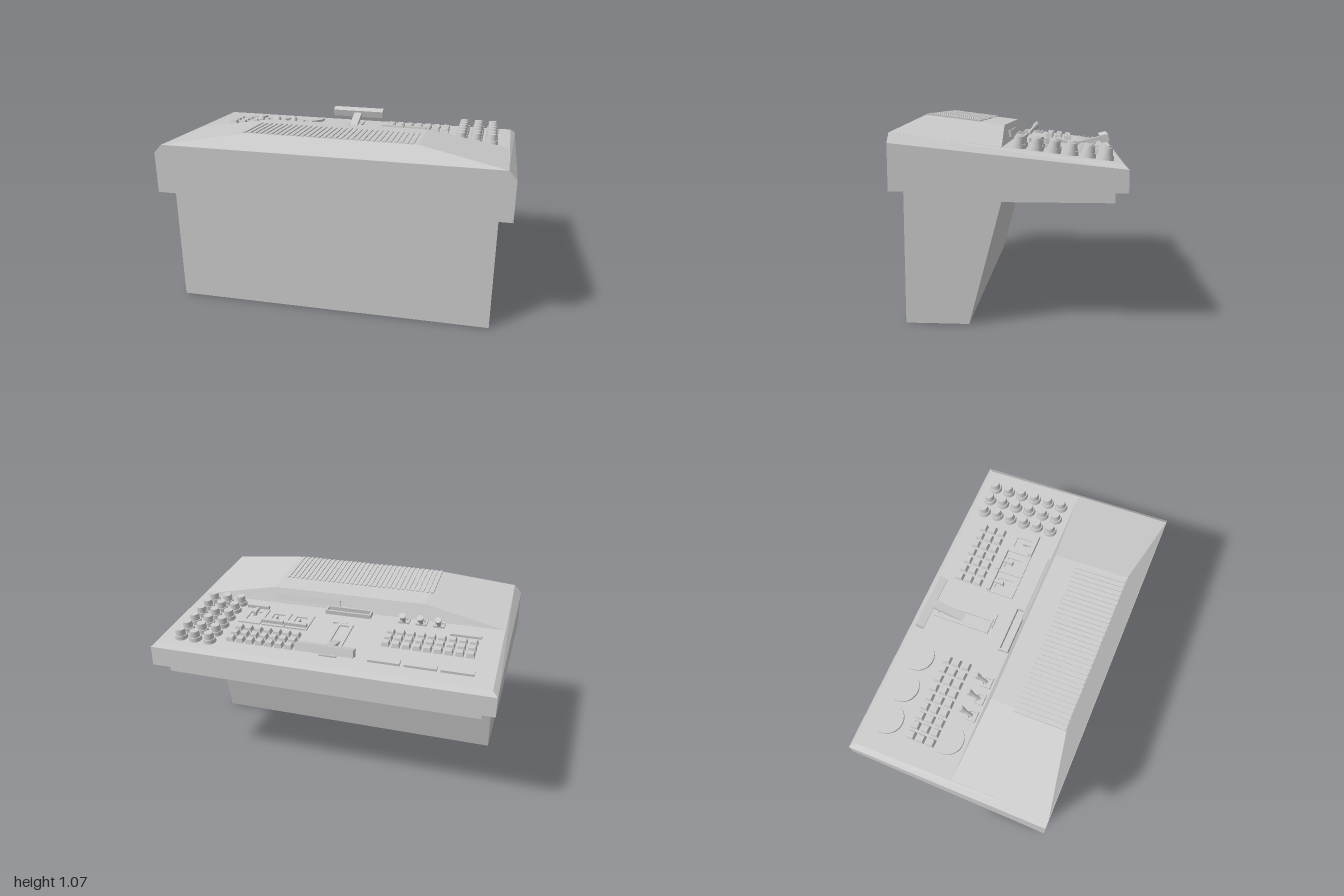
import * as THREE from 'three';
import { ConvexGeometry } from 'three/addons/geometries/ConvexGeometry.js';

const grey = new THREE.MeshStandardMaterial({ color: 0xcccccc, flatShading: true });
const smooth = new THREE.MeshStandardMaterial({ color: 0xcccccc });

function add(parent, name, geometry, x = 0, y = 0, z = 0, material = grey) {
  const mesh = new THREE.Mesh(geometry, material);
  mesh.name = name;
  mesh.position.set(x, y, z);
  parent.add(mesh);
  return mesh;
}

const box = (w, h, d) => new THREE.BoxGeometry(w, h, d);

// Convex solid from [halfWidth, y, z] rows, mirrored in x
function mirroredHull(rows) {
  return new ConvexGeometry(rows.flatMap(([x, y, z]) =>
    [new THREE.Vector3(x, y, z), new THREE.Vector3(-x, y, z)]));
}

// Extrude a shape drawn in plan (shape -y becomes +z) upward by h
function slab(shape, h) {
  return new THREE.ExtrudeGeometry(shape, { depth: h, bevelEnabled: false, curveSegments: 16 })
    .rotateX(-Math.PI / 2);
}

function rect(Kind, w, d) {
  const x = w / 2, y = d / 2;
  return new Kind([[-x, -y], [x, -y], [x, y], [-x, y]].map(p => new THREE.Vector2(...p)));
}

function rectFrame(w, d, t, h) {
  const shape = rect(THREE.Shape, w, d);
  shape.holes.push(rect(THREE.Path, w - 2 * t, d - 2 * t));
  return slab(shape, h);
}

// D-shaped outline with its flat edge at the back
function dOutline(Kind, r, inset) {
  const s = new Kind(), e = r - inset;
  s.moveTo(-e, -inset);
  s.lineTo(e, -inset);
  s.lineTo(e, -0.025);
  s.absarc(0, -0.025, e, 0, -Math.PI, true);
  s.closePath();
  return s;
}

function addMeter(parent, x, z) {
  const g = new THREE.Group();
  g.name = 'meter';
  g.position.set(x, 0, z);
  const rim = dOutline(THREE.Shape, 0.09, 0);
  rim.holes.push(dOutline(THREE.Path, 0.09, 0.012));
  add(g, 'meterRim', slab(rim, 0.014));
  add(g, 'meterFace', slab(dOutline(THREE.Shape, 0.09, 0.01), 0.004));
  parent.add(g);
}

function addButtons(parent, x0, z0, columns, rows) {
  const cap = new THREE.CylinderGeometry(0.025, 0.034, 0.026, 4).rotateY(Math.PI / 4);
  for (let r = 0; r < rows; r++)
    for (let c = 0; c < columns; c++)
      add(parent, 'button', cap, x0 + c * 0.06, 0.012, z0 + r * 0.061);
}

// Slider with a T-shaped handle; dir is the way the stem points along z
function addSlider(parent, x, z, dir) {
  const g = new THREE.Group();
  g.name = 'slider';
  g.position.set(x, 0, z);
  add(g, 'sliderGrip', box(0.14, 0.02, 0.024), 0, 0.03, 0);
  add(g, 'sliderStem', box(0.018, 0.016, 0.07), 0, 0.022, dir * 0.035);
  add(g, 'sliderPost', box(0.018, 0.024, 0.02), 0, 0.01, dir * 0.06);
  parent.add(g);
}

function addToggle(parent, x) {
  const g = new THREE.Group();
  g.name = 'toggleSwitch';
  g.position.set(x, 0, -0.01);
  add(g, 'toggleBase', rectFrame(0.065, 0.055, 0.01, 0.012));
  const lever = new THREE.Group();
  lever.rotation.x = -0.62;
  lever.position.z = -0.008;
  add(lever, 'toggleStem', new THREE.CylinderGeometry(0.011, 0.011, 0.065, 12), 0, 0.03, 0, smooth);
  add(lever, 'toggleKnob', new THREE.CylinderGeometry(0.019, 0.016, 0.032, 14), 0, 0.076, 0, smooth);
  g.add(lever);
  parent.add(g);
}

export function createModel() {
  const model = new THREE.Group();
  model.name = 'controlConsole';

  // Pedestal and underplate in one side profile (shape x = -z)
  const profile = new THREE.Shape([
    [-0.535, 0], [-0.205, 0], [-0.035, 0.64], [0.535, 0.64], [0.535, 0.705], [-0.535, 0.705],
  ].map(p => new THREE.Vector2(...p)));
  add(model, 'pedestal', new THREE.ExtrudeGeometry(profile, { depth: 1.85, bevelEnabled: false })
    .translate(0, 0, -0.925).rotateY(Math.PI / 2));

  // Desk body with chamfered upper edges
  add(model, 'deskBody', mirroredHull([
    [1, 0.7, 0.595], [1, 0.7, -0.595], [1, 0.94, 0.595], [1, 0.815, -0.595],
    [0.955, 0.99, 0.595], [0.97, 0.84, -0.57],
  ]));

  // Raised hood over the front half
  add(model, 'hood', mirroredHull([
    [0.955, 0.985, 0.593], [0.955, 0.99, 0.593], [0.955, 0.91, 0.03], [0.955, 0.918, 0.03],
    [0.48, 1.064, 0.505], [0.48, 1.008, 0.06],
  ]).translate(0, 0, 0));

  // Vent slats
  const slat = box(0.017, 0.012, 0.305);
  for (let i = 0; i < 32; i++)
    add(model, 'ventSlat', slat, -0.492 + i * 0.0302, 1.045, 0.352).rotation.x = -0.126;

  // Controls sit on the sloping deck
  const deck = new THREE.Group();
  deck.name = 'deck';
  deck.position.y = 0.9134;
  deck.rotation.x = -0.128;
  model.add(deck);

  // Rotary knobs
  const knobBase = new THREE.CylinderGeometry(0.036, 0.039, 0.024, 20);
  const knobCap = new THREE.CylinderGeometry(0.026, 0.03, 0.036, 20);
  for (let r = 0; r < 6; r++)
    for (let c = 0; c < 3; c++) {
      const x = 0.67 + c * 0.0915, z = -0.045 - r * 0.0895;
      add(deck, 'knobBase', knobBase, x, 0.012, z, smooth);
      add(deck, 'knobCap', knobCap, x, 0.042, z, smooth);
    }

  // Button banks
  addButtons(deck, -0.81, -0.285, 9, 3);
  addButtons(deck, 0.195, -0.445, 7, 3);

  // Meters
  for (const x of [-0.77, -0.57, -0.366]) addMeter(deck, x, -0.478);
  addMeter(deck, -0.755, -0.105);

  // Toggle switches
  for (const x of [-0.585, -0.48, -0.375]) addToggle(deck, x);

  // Sliders in their frames
  for (const [x, z, dir] of [[0.23, -0.24, 1], [0.376, -0.24, 1], [0.527, -0.092, -1]]) {
    add(deck, 'sliderFrame', rectFrame(0.14, 0.165, 0.035, 0.008), x, 0, -0.168);
    addSlider(deck, x, z, dir);
  }

  // Main throttle lever with slot
  add(deck, 'leverSlot', rectFrame(0.1, 0.35, 0.02, 0.01), -0.047, 0, -0.31);
  add(deck, 'leverMarker', box(0.09, 0.012, 0.01), -0.01, 0.004, -0.127);
  const lever = new THREE.Group();
  lever.name = 'mainLever';
  lever.position.set(-0.047, 0.025, -0.41);
  lever.rotation.x = 0.36;
  add(lever, 'leverStem', box(0.05, 0.025, 0.22));
  add(lever, 'leverGrip', box(0.335, 0.045, 0.05), 0, 0.003, -0.108);
  deck.add(lever);

  // Tray at the foot of the hood and trim plate on its back face
  add(deck, 'tray', rectFrame(0.285, 0.062, 0.01, 0.025), -0.028, 0, -0.002);
  add(deck, 'trimPlate', box(0.42, 0.035, 0.012), 0.25, 0.04, 0.037).rotation.x = 0.4;

  return model;
}
